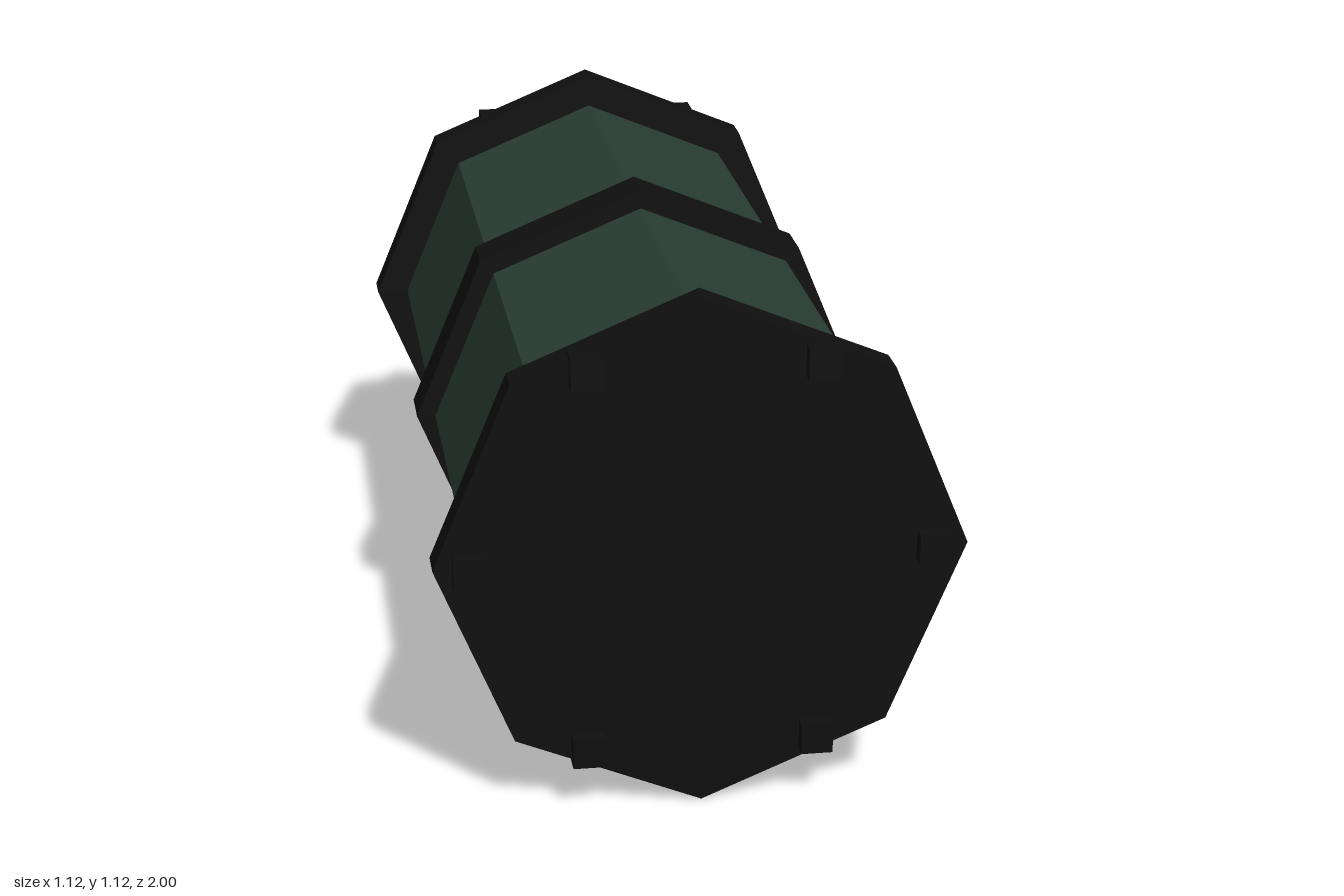
import * as THREE from 'three';

export function createModel() {
  const group = new THREE.Group();
  const green = new THREE.MeshStandardMaterial({ color: 0x283d34, flatShading: true });
  green.name = 'dark green';
  const black = new THREE.MeshStandardMaterial({ color: 0x0f0f0f, flatShading: true });
  black.name = 'black';
  const centreY = 0.5625;

  // Eight-sided drum lying along z, with a corner pointing up
  const drum = (name, radius, length, z, material) => {
    const geometry = new THREE.CylinderGeometry(radius, radius, length, 8).rotateX(Math.PI / 2);
    const mesh = new THREE.Mesh(geometry, material);
    mesh.name = name;
    mesh.position.set(0, centreY, z);
    group.add(mesh);
  };

  drum('body', 0.485, 1.8, 0, green);
  drum('middleBand', 0.528, 0.117, 0, black);

  // End caps, each with a ring of six square bolts
  const boltGeometry = new THREE.BoxGeometry(0.068, 0.068, 0.068);
  for (const [side, s] of [['front', 1], ['back', -1]]) {
    drum(side + 'Cap', 0.5625, 0.076, s * 0.932, black);
    for (let i = 0; i < 6; i++) {
      const a = (i * Math.PI) / 3;
      const bolt = new THREE.Mesh(boltGeometry, black);
      bolt.name = side + 'Bolt' + (i + 1);
      bolt.position.set(Math.cos(a) * 0.488, centreY + Math.sin(a) * 0.488, s * 0.966);
      group.add(bolt);
    }
  }
  return group;
}
